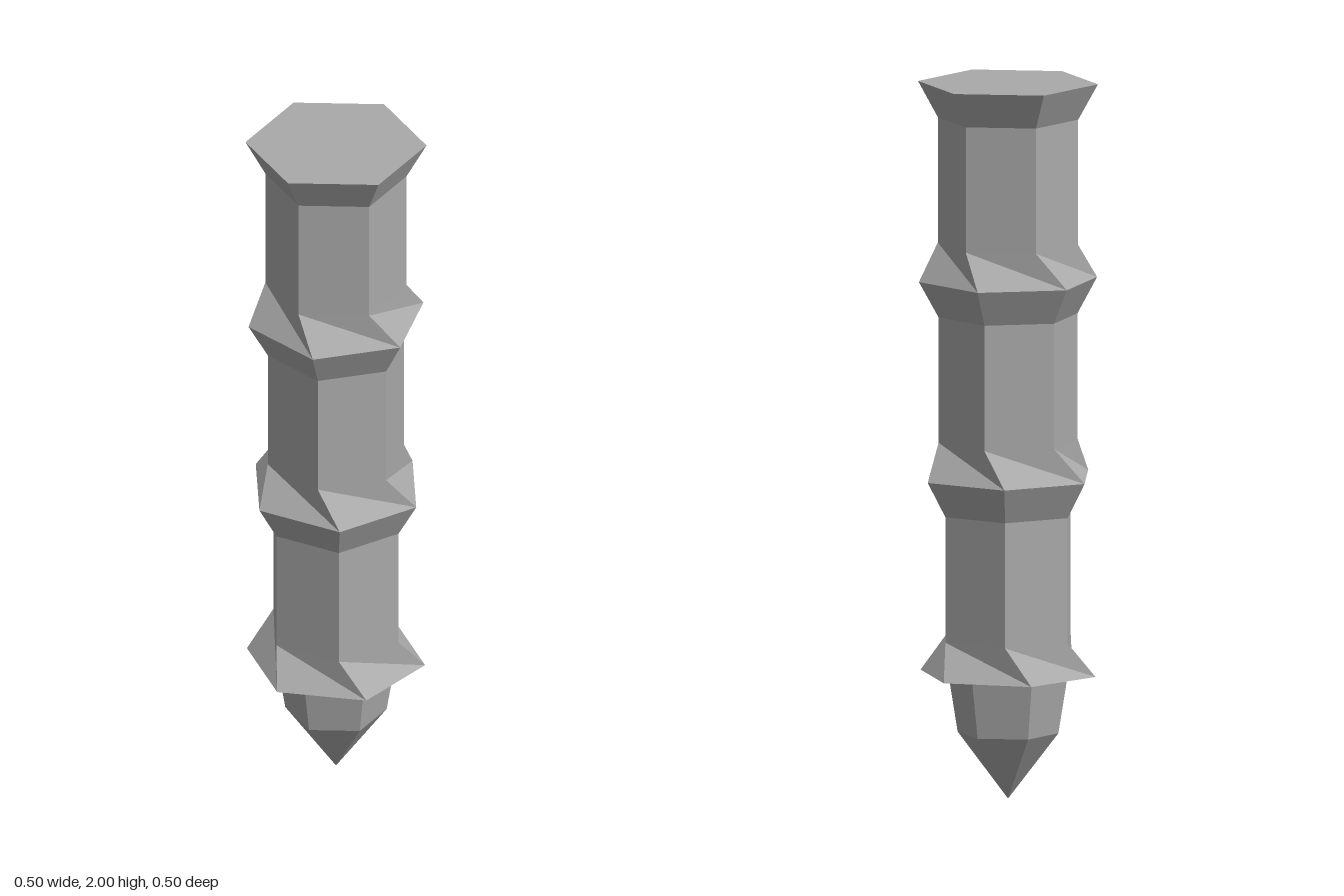
import * as THREE from 'three';

const SIDES = 6;
const TWIST = -0.3; // each section is turned this much from the one above

// Skin a stack of hexagonal rings, listed top to bottom as [y, radius, angle]
function hexLoft(rings) {
  const pos = [];
  const corner = ([y, r, a], k) => {
    const t = a + (k * Math.PI * 2) / SIDES;
    return [r * Math.cos(t), y, r * Math.sin(t)];
  };
  for (let i = 0; i < rings.length - 1; i++) {
    const [up, low] = [rings[i], rings[i + 1]];
    for (let k = 0; k < SIDES; k++) {
      const u0 = corner(up, k), u1 = corner(up, k + 1);
      const l0 = corner(low, k), l1 = corner(low, k + 1);
      if (up[1] > 0) pos.push(...u0, ...u1, ...l0);
      if (low[1] > 0) pos.push(...u1, ...l1, ...l0);
    }
  }
  const g = new THREE.BufferGeometry();
  g.setAttribute('position', new THREE.Float32BufferAttribute(pos, 3));
  g.computeVertexNormals();
  return g;
}

export function createModel() {
  const group = new THREE.Group();
  const metal = new THREE.MeshStandardMaterial({ color: 0xaaaaaa, flatShading: true });
  metal.name = 'grey metal';
  const add = (name, rings) => {
    const mesh = new THREE.Mesh(hexLoft(rings), metal);
    mesh.name = name;
    group.add(mesh);
  };

  const WIDE = 0.25, SHAFT = 0.195;

  // Flat flared head
  add('head', [[2, 0, 0], [2, WIDE, 0], [1.9, SHAFT, 0]]);

  // Three shafts, each ending in a twisted collar
  [[1.9, 1.55], [1.35, 1.0], [0.8, 0.45]].forEach(([top, bottom], i) => {
    const a = i * TWIST, next = a + TWIST;
    add('shaft' + (i + 1), [[top, SHAFT, a], [bottom, SHAFT, a]]);
    const collar = [[bottom, SHAFT, a], [bottom - 0.1, WIDE, next]];
    // The last collar is closed flat underneath, the others narrow again
    collar.push(i < 2 ? [bottom - 0.2, SHAFT, next] : [bottom - 0.1, 0, next]);
    add('collar' + (i + 1), collar);
  });

  // Pointed tip
  add('tip', [[0.36, 0.168, 0], [0.185, 0.14, 0], [0, 0, 0]]);

  return group;
}
